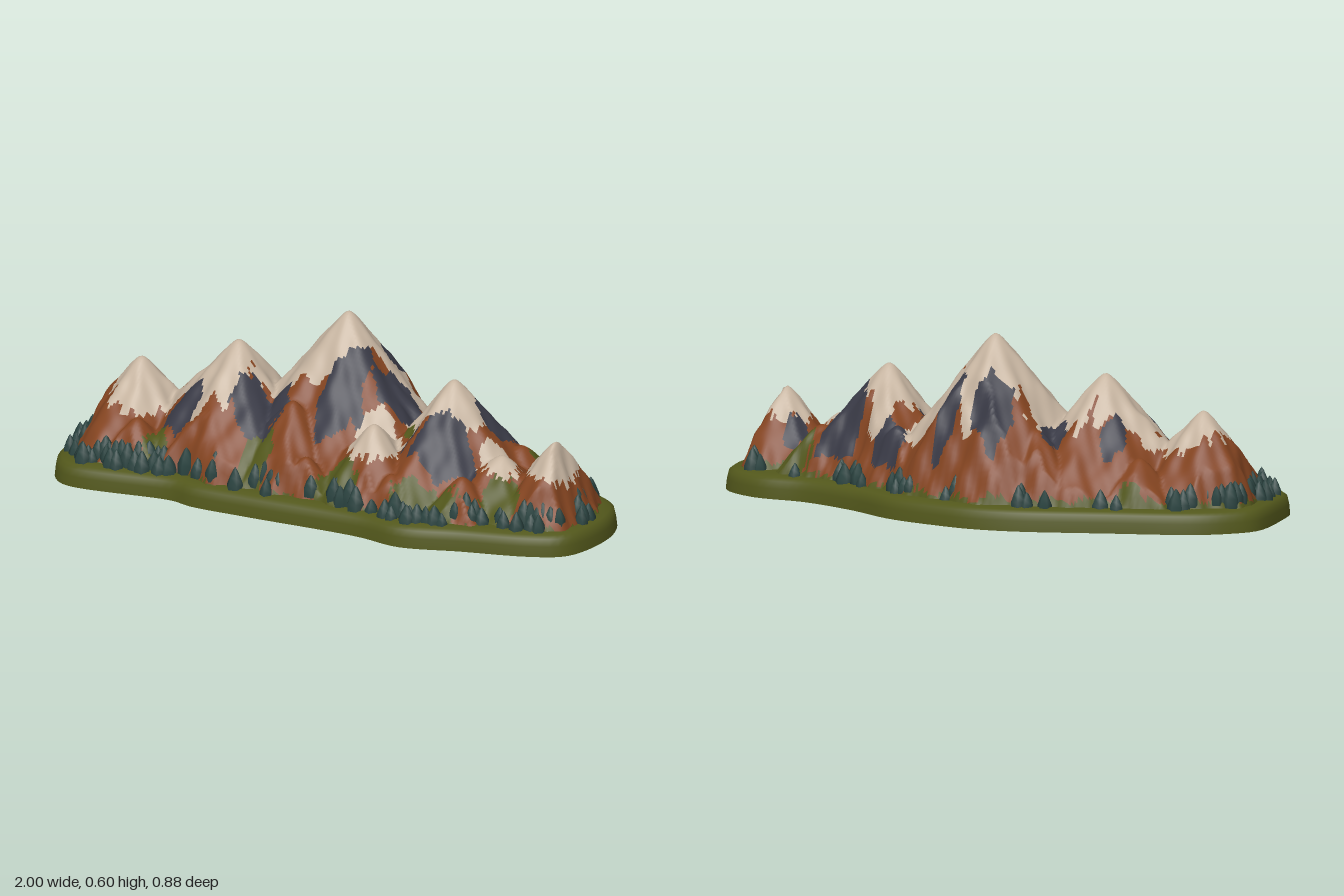
import * as THREE from 'three';
import { mergeGeometries, toCreasedNormals } from 'three/addons/utils/BufferGeometryUtils.js';

const mat = (name, color) => Object.assign(new THREE.MeshStandardMaterial({ color }), { name });

// Footprint of the base, clockwise from the left end as seen from above (x, z)
const outline = new THREE.CatmullRomCurve3([
  [-1, -0.05], [-0.95, -0.13], [-0.85, -0.21], [-0.56, -0.32], [-0.27, -0.42], [-0.12, -0.44], [0, -0.43],
  [0.21, -0.385], [0.4, -0.29], [0.61, -0.22], [0.8, -0.21], [0.94, -0.13], [0.995, 0], [0.99, 0.17],
  [0.95, 0.27], [0.85, 0.325], [0.61, 0.385], [0.41, 0.437], [0.24, 0.405], [-0.19, 0.395], [-0.4, 0.385],
  [-0.48, 0.36], [-0.87, 0.38], [-0.945, 0.31], [-0.98, 0.18],
].map(([x, z]) => new THREE.Vector3(x, 0, z)), true, 'centripetal').getSpacedPoints(160).slice(0, -1);

// Summits: x, z, height, slope
const peaks = [
  [-0.75, 0.05, 0.375, 1.25], [-0.4, 0.02, 0.48, 1.2], [-0.04, -0.085, 0.605, 1.32], [0.4, 0, 0.457, 1.25],
  [0.83, 0.09, 0.332, 1.3], [0.19, 0.18, 0.322, 1.35],
  [0.63, 0.1, 0.255, 0.9], [0.13, -0.06, 0.39, 1.2], [-0.13, 0.15, 0.345, 1.3], [-0.43, 0.2, 0.28, 1.3],
  [-0.68, 0.22, 0.22, 1.2], [0.3, 0.27, 0.19, 1.1], [0.55, 0.24, 0.21, 1.2], [-0.6, -0.13, 0.23, 1.1],
  [-0.25, -0.2, 0.31, 1.2], [0.28, -0.18, 0.28, 1.2], [0.62, -0.06, 0.24, 1.1], [-0.88, 0.06, 0.23, 1.3],
  [-0.02, 0.27, 0.2, 1.2], [-0.58, 0.06, 0.26, 1], [-0.23, -0.02, 0.37, 1.1], [0.53, 0.03, 0.28, 1.1],
];

// Colour patches: x, z, radius x, radius z
const snowPatches = [
  [-0.71, 0.07, 0.13, 0.14], [-0.47, 0.05, 0.15, 0.15], [-0.25, -0.05, 0.17, 0.13], [-0.05, -0.12, 0.13, 0.16],
  [-0.08, 0.01, 0.1, 0.06], [0.15, -0.16, 0.13, 0.09], [0.185, 0.16, 0.09, 0.11], [0.38, 0.01, 0.15, 0.11],
  [0.63, 0.1, 0.1, 0.09], [0.81, 0.09, 0.1, 0.1], [0.36, -0.1, 0.04, 0.09],
];
const slatePatches = [
  [-0.12, -0.25, 0.07, 0.07], [0.17, -0.03, 0.09, 0.07], [0.52, -0.1, 0.08, 0.1], [0.43, 0.15, 0.12, 0.07],
  [-0.54, 0.15, 0.06, 0.06], [-0.26, 0.14, 0.1, 0.08], [0.01, 0.1, 0.08, 0.08], [0.3, -0.21, 0.06, 0.06],
  [-0.5, -0.12, 0.04, 0.06], [0.05, -0.25, 0.04, 0.08], [0.74, -0.01, 0.04, 0.05], [0.04, 0, 0.045, 0.06],
  [-0.3, -0.16, 0.04, 0.06],
];
const grassPatches = [
  [0.1, 0.31, 0.08, 0.07], [-0.21, 0.28, 0.05, 0.1], [0.43, 0.31, 0.13, 0.06], [0.7, -0.12, 0.08, 0.07],
  [0.68, 0.22, 0.06, 0.08], [-0.6, 0.26, 0.04, 0.07], [0.28, 0.07, 0.03, 0.04], [-0.63, -0.24, 0.06, 0.03],
];

const noise = (x, z) => 0.5 * Math.sin(31 * x + 9 * z + 1) + 0.4 * Math.sin(23 * z - 17 * x + 2)
  + 0.35 * Math.sin(67 * x + 41 * z) + 0.25 * Math.sin(83 * z - 71 * x + 4);

// Signed distance to the edge of the base, positive inside
function edgeDistance(x, z) {
  let best = 9, inside = false;
  outline.forEach((a, i) => {
    const b = outline[(i + 1) % outline.length];
    best = Math.min(best, Math.hypot(x - a.x, z - a.z));
    if ((a.z > z) !== (b.z > z) && x < a.x + ((z - a.z) / (b.z - a.z)) * (b.x - a.x)) inside = !inside;
  });
  return inside ? best : -best;
}

// Highest fluted cone at a point, how far down it the point lies, and a downhill streak value
function terrain(x, z) {
  let y = 0.03, drop = 1, streak = 0;
  peaks.forEach(([px, pz, h, slope], k) => {
    const dx = x - px, dz = z - pz, a = Math.atan2(dz, dx), r = Math.hypot(dx, dz);
    const flute = 0.08 * Math.sin(3 * a + k * 1.7) + 0.05 * Math.sin(8 * a + k * 2.3 + r * 9);
    const fall = slope * (Math.hypot(r, 0.018) - 0.018) * (1 + flute * Math.min(1, r / 0.08));
    if (h - fall > y) {
      y = h - fall;
      drop = fall / (h - 0.07);
      streak = 0.6 * Math.sin(13 * a + k) + 0.4 * Math.sin(22 * a + k * 3);
    }
  });
  y += 0.008 * noise(x, z) * Math.min(1, drop * 3);
  const limit = 0.075 + 2.4 * (edgeDistance(x, z) - 0.055 + 0.012 * noise(x * 0.8, z));
  return { y: Math.max(0.03, Math.min(y, limit)), drop, streak };
}

const inPatch = (list, x, z, n) =>
  list.some(([px, pz, rx, rz]) => Math.hypot((x - px) / rx, (z - pz) / rz) < 1 + 0.22 * n);

// Height grid with one material group for each ground colour
function mountainGeometry() {
  const nx = 240, nz = 108, w = 2, d = 0.9, pos = [], spots = [];
  const faces = [[], [], [], []]; // snow, slate, rock, grass
  for (let j = 0; j <= nz; j++) for (let i = 0; i <= nx; i++) {
    const x = (i / nx - 0.5) * w, z = (j / nz - 0.5) * d, t = terrain(x, z);
    pos.push(x, t.y, z);
    spots.push(t);
  }
  for (let j = 0; j < nz; j++) for (let i = 0; i < nx; i++) {
    const a = j * (nx + 1) + i, b = a + 1, c = a + nx + 1, e = c + 1;
    if (Math.max(...[a, b, c, e].map((v) => spots[v].y)) < 0.07) continue;
    const x = pos[a * 3], z = pos[a * 3 + 2], { y, drop, streak } = spots[a];
    const n = 0.6 * noise(x * 1.3, z * 1.3) + 0.8 * streak;
    let kind = 2;
    if (y > 0.14 && (drop > 0.18 || y < 0.4) && inPatch(slatePatches, x, z, n)) kind = 1;
    else if (y > 0.215 + 0.02 * n && inPatch(snowPatches, x, z, n)) kind = 0;
    else if (y < 0.085 + 0.01 * n || inPatch(grassPatches, x, z, n)) kind = 3;
    faces[kind].push(a, c, b, b, c, e);
  }
  const geo = new THREE.BufferGeometry();
  geo.setAttribute('position', new THREE.Float32BufferAttribute(pos, 3));
  geo.setIndex(faces.flat());
  let start = 0;
  faces.forEach((f, k) => { geo.addGroup(start, f.length, k); start += f.length; });
  geo.computeVertexNormals();
  return geo;
}

// Moves an outline point inward, towards the long axis of the base
function inset(p, amount) {
  const core = new THREE.Vector3(THREE.MathUtils.clamp(p.x, -0.7, 0.7), 0, 0.05);
  return p.clone().add(core.sub(p).setLength(amount));
}

// Solid base lofted through inset outlines, closed at top and bottom
function baseGeometry() {
  const centre = (y) => outline.map(() => new THREE.Vector3(0, y, 0));
  const ring = (y, amount) => outline.map((p) => inset(p, amount).setY(y));
  const rings = [centre(0), ring(0, 0), ring(0.035, 0.004), ring(0.06, 0.01), ring(0.07, 0.024),
    ring(0.077, 0.05), centre(0.077)];
  const pos = [], n = outline.length;
  for (let k = 0; k < rings.length - 1; k++) for (let i = 0; i < n; i++) {
    const j = (i + 1) % n, lo = rings[k], hi = rings[k + 1];
    if (k > 0) pos.push(...lo[j], ...lo[i], ...hi[i]);
    if (k < rings.length - 2) pos.push(...lo[j], ...hi[i], ...hi[j]);
  }
  const geo = new THREE.BufferGeometry();
  geo.setAttribute('position', new THREE.Float32BufferAttribute(pos, 3));
  return toCreasedNormals(geo, 0.8);
}

// Clusters of small pointed conifers round the foot of the mountains
function treeGeometry() {
  let seed = 7;
  const rand = () => (seed = (seed * 16807) % 2147483647) / 2147483647;
  const profile = [[0.03, -0.02], [0.029, 0.012], [0.019, 0.036], [0.008, 0.058], [0, 0.068]]
    .map(([r, y]) => new THREE.Vector2(r, y));
  const trees = [];
  for (const row of [0.05, 0.08]) outline.forEach((p, i) => {
    const chance = (p.z < 0 ? 0.28 : 0.55) + 0.3 * Math.sin(i * 0.75);
    if (rand() > chance) return;
    const q = inset(p, row + 0.03 * rand()), s = 0.7 + 0.4 * rand();
    const ground = THREE.MathUtils.clamp(terrain(q.x, q.z).y - 0.015, 0.073, 0.1);
    trees.push(new THREE.LatheGeometry(profile, 6).rotateY(rand() * 6)
      .scale(s, s * (0.85 + 0.25 * rand()), s).translate(q.x, ground, q.z));
  });
  return mergeGeometries(trees);
}

export function createModel() {
  const snow = mat('snow', 0xc6b4a0), slate = mat('slate', 0x393a46), rock = mat('rustRock', 0x844420);
  const grass = mat('grass', 0x52571b), foliage = mat('foliage', 0x2a4340);
  const group = new THREE.Group();
  group.name = 'mountainRange';
  const add = (name, geometry, material) => {
    const mesh = new THREE.Mesh(geometry, material);
    mesh.name = name;
    group.add(mesh);
  };
  add('grassBase', baseGeometry(), grass);
  add('mountains', mountainGeometry(), [snow, slate, rock, grass]);
  add('trees', treeGeometry(), foliage);
  return group;
}
